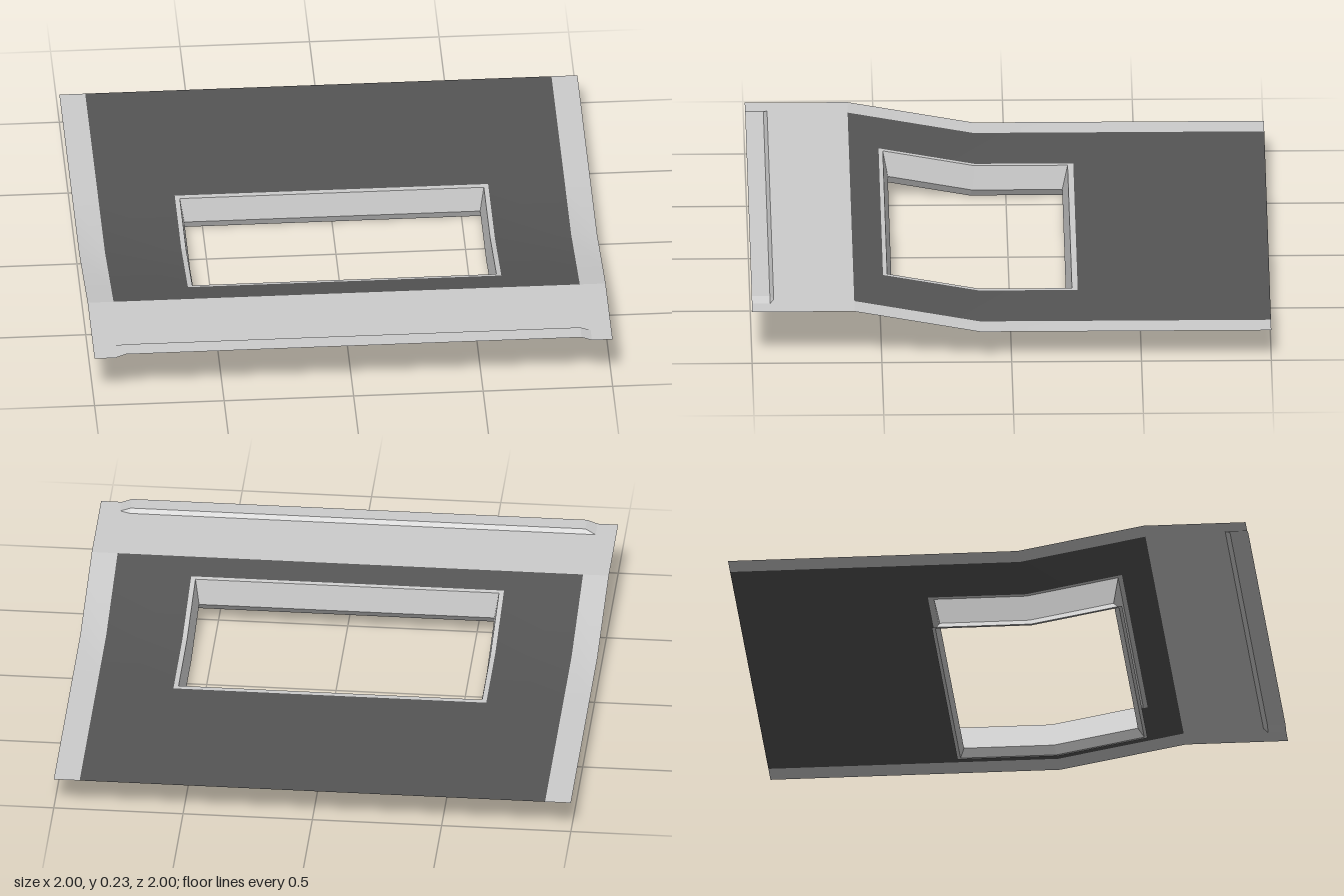
import * as THREE from 'three';

const SLOPE = 0.183, BEND = 0.12, FLAT = 0.127, FOLD = 0.605;
const HX = 0.605, HZ0 = -0.26, HZ1 = 0.49; // opening in the panel

// Height of the sheet: flat at the back, rising, then flat at the front
const sheetY = (x, z) => FLAT + SLOPE * (Math.min(Math.max(z, BEND), FOLD) - BEND);
// Front shelf with a slightly raised lip along its edge
const shelfY = (x, z) =>
  sheetY(x, z) + (z >= 0.93 && Math.abs(x) <= 0.88 ? 0.015 : 0);

function makeMaterial(color, flatShading) {
  return new THREE.MeshStandardMaterial({ color, flatShading, side: THREE.DoubleSide });
}

function makeMesh(name, positions, indices, material) {
  const geo = new THREE.BufferGeometry();
  geo.setAttribute('position', new THREE.Float32BufferAttribute(positions, 3));
  geo.setIndex(indices);
  geo.computeVertexNormals();
  const mesh = new THREE.Mesh(geo, material);
  mesh.name = name;
  return mesh;
}

// Thin sheet over a grid of x and z lines; cells whose centre is in a hole are left out
function sheet(name, xs, zs, height, material, isHole = () => false) {
  const pos = [], idx = [], n = zs.length;
  for (const x of xs) for (const z of zs) pos.push(x, height(x, z), z);
  for (let i = 0; i < xs.length - 1; i++) {
    for (let j = 0; j < n - 1; j++) {
      if (isHole((xs[i] + xs[i + 1]) / 2, (zs[j] + zs[j + 1]) / 2)) continue;
      const a = i * n + j, b = a + 1, c = a + n + 1, d = a + n;
      idx.push(a, b, c, a, c, d);
    }
  }
  return makeMesh(name, pos, idx, material);
}

// Bent rectangular channel joined from rings of [halfWidth, back, front, bend, baseY]
function channel(name, rings, material) {
  const pos = [], idx = [], n = 6;
  for (const [w, back, front, bend, y] of rings) {
    const yFront = y + SLOPE * (front - bend);
    pos.push(w, yFront, front, w, y, bend, w, y, back);
    pos.push(-w, y, back, -w, y, bend, -w, yFront, front);
  }
  for (let r = 0; r < rings.length - 1; r++) {
    for (let k = 0; k < n; k++) {
      const a = r * n + k, b = r * n + (k + 1) % n;
      idx.push(a, a + n, b + n, a, b + n, b);
    }
  }
  return makeMesh(name, pos, idx, material);
}

export function createModel() {
  const model = new THREE.Group();
  model.name = 'panelWithOpening';
  const dark = makeMaterial(0x555555, false);
  const smoothGrey = makeMaterial(0xcccccc, false);
  const flatGrey = makeMaterial(0xcccccc, true);

  // Dark panel around the opening
  model.add(sheet('darkPanel', [-0.9, -HX, HX, 0.9], [-1, HZ0, BEND, HZ1, FOLD],
    sheetY, dark, (x, z) => Math.abs(x) < HX && z > HZ0 && z < HZ1));

  // Side borders
  for (const [name, x0, x1] of [['leftBorder', 0.9, 1], ['rightBorder', -1, -0.9]]) {
    model.add(sheet(name, [x0, x1], [-1, HZ0, BEND, HZ1, FOLD], sheetY, smoothGrey));
  }

  // Front shelf with raised lip
  model.add(sheet('frontShelf', [-1, -0.92, -0.88, 0.88, 0.92, 1],
    [FOLD, 0.915, 0.93, 1], shelfY, flatGrey));

  // Opening frame: top flange, tapering wall, flared foot, bottom flange
  model.add(channel('openingFrame', [
    [HX, HZ0, HZ1, BEND, FLAT],
    [0.587, -0.238, 0.474, BEND, FLAT],
    [0.571, -0.217, 0.455, 0.13, 0.032],
    [0.592, -0.232, 0.478, 0.14, 0],
    [0.604, -0.245, 0.49, 0.14, 0],
  ], flatGrey));

  return model;
}
